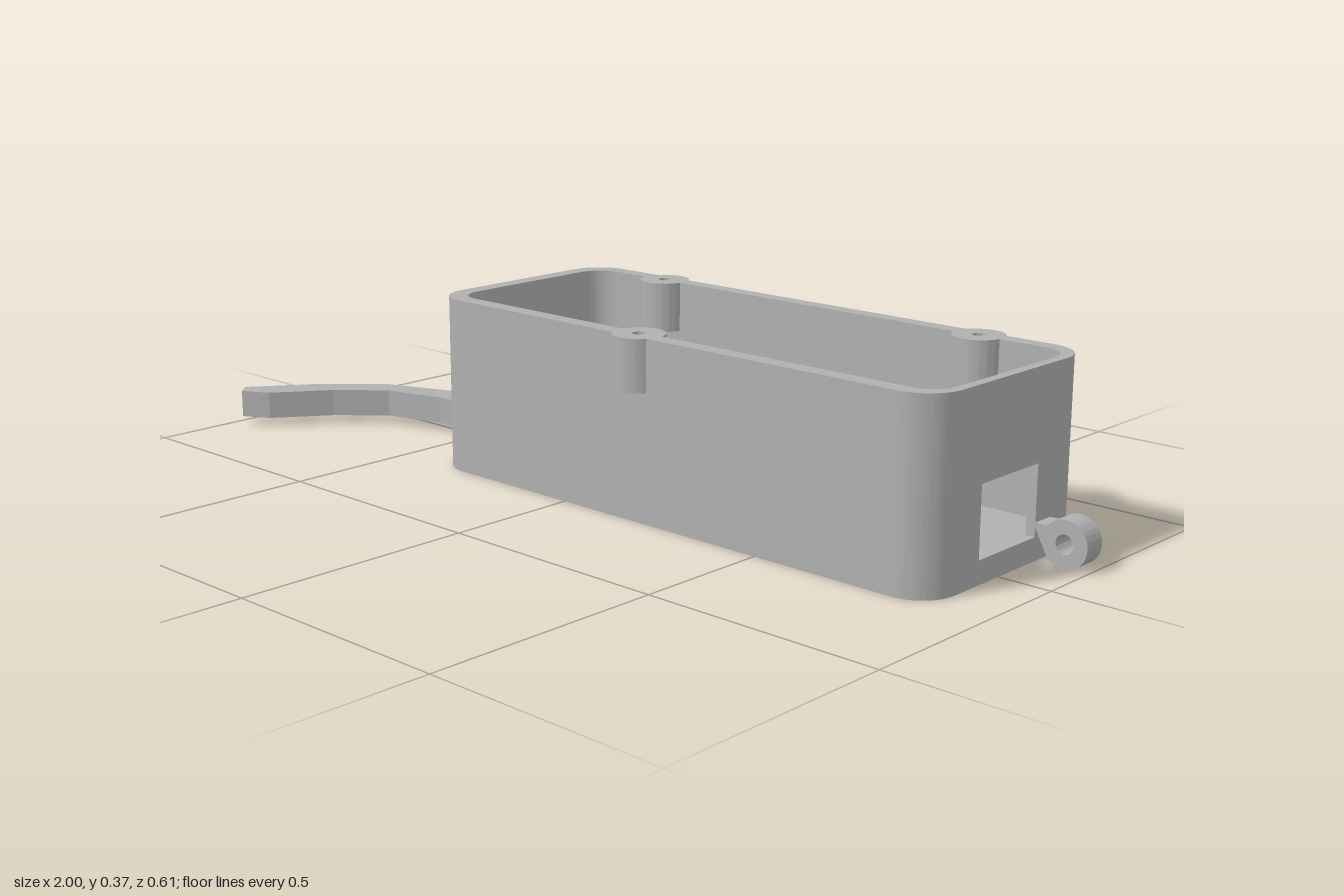
import * as THREE from 'three';
import { toCreasedNormals } from 'three/addons/utils/BufferGeometryUtils.js';

const HEIGHT = 0.37, BOSS_BOTTOM = 0.263, BOSS_R = 0.053, HOLE_R = 0.013;
const OUTER = { x0: -0.39, x1: 0.89, z0: -0.278, z1: 0.216, r: 0.08 };
const INNER = { x0: -0.354, x1: 0.87, z0: -0.244, z1: 0.18, r: 0.055 };
const BACK_BOSSES = [[-0.16, -0.252], [0.66, -0.252]];
const FRONT_BOSSES = [[0.18, 0.188]];
const WINDOW = { z0: -0.115, z1: 0.065, y0: 0.047, y1: 0.188 };

// Rounded rectangle in plan, starting on the right wall; bosses bulge out of the long sides
function outline(b, withBosses, inward) {
  const { x0, x1, z0, z1, r } = b;
  const p = new THREE.Path();
  const bulge = ([cx, cz], z, dir) => {
    const d = z - cz, h = Math.sqrt(BOSS_R ** 2 - d * d) * dir;
    p.absarc(cx, cz, BOSS_R, Math.atan2(d, -h), Math.atan2(d, h), inward);
  };
  p.absarc(x1 - r, z1 - r, r, 0, Math.PI / 2, false);
  if (withBosses) FRONT_BOSSES.forEach((c) => bulge(c, z1, -1));
  p.absarc(x0 + r, z1 - r, r, Math.PI / 2, Math.PI, false);
  p.absarc(x0 + r, z0 + r, r, Math.PI, Math.PI * 1.5, false);
  if (withBosses) BACK_BOSSES.forEach((c) => bulge(c, z0, 1));
  p.absarc(x1 - r, z0 + r, r, Math.PI * 1.5, Math.PI * 2, false);
  return p.getPoints(10);
}

// Extrude a plan shape (x, z) between two heights
function slab(shape, y0, y1) {
  const g = new THREE.ExtrudeGeometry(shape, { depth: y1 - y0, bevelEnabled: false, curveSegments: 16 });
  g.rotateX(Math.PI / 2).translate(0, y1, 0);
  return toCreasedNormals(g, 0.5);
}

function circle(x, y, r) {
  return new THREE.Path().absarc(x, y, r, 0, Math.PI * 2, true);
}

function ring(withBosses) {
  const s = new THREE.Shape(outline(OUTER, withBosses, false));
  s.holes.push(new THREE.Path(outline(INNER, withBosses, true)));
  if (withBosses) [...BACK_BOSSES, ...FRONT_BOSSES].forEach(([x, z]) => s.holes.push(circle(x, z, HOLE_R)));
  return s;
}

export function createModel() {
  const model = new THREE.Group();
  model.name = 'enclosure';
  const grey = new THREE.MeshStandardMaterial({ color: 0xb0b0b0 });
  grey.name = 'plain grey';
  const add = (name, geometry) => {
    const m = new THREE.Mesh(geometry, grey);
    m.name = name;
    model.add(m);
  };

  // Tray: floor, then wall bands
  const floor = 0.035;
  add('floor', slab(new THREE.Shape(outline(OUTER)), 0, floor));
  add('lowerWall', slab(ring(false), floor, WINDOW.y0));
  const v = (x, z) => new THREE.Vector2(x, z);
  const openBand = new THREE.Shape([
    v(OUTER.x1, WINDOW.z1), ...outline(OUTER), v(OUTER.x1, WINDOW.z0),
    v(INNER.x1, WINDOW.z0), ...outline(INNER).reverse(), v(INNER.x1, WINDOW.z1),
  ]);
  add('windowWall', slab(openBand, WINDOW.y0, WINDOW.y1));
  add('middleWall', slab(ring(false), WINDOW.y1, BOSS_BOTTOM));
  add('rimWithScrewBosses', slab(ring(true), BOSS_BOTTOM, HEIGHT));

  // Curved tapering tail on the -x end
  const tail = [
    [-0.38, -0.067], [-0.614, -0.034], [-0.78, 0.03], [-0.898, 0.138], [-1.0, 0.277],
    [-0.973, 0.305], [-0.914, 0.272], [-0.828, 0.154], [-0.732, 0.068], [-0.598, 0.03], [-0.38, 0.009],
  ].map(([x, z]) => v(x, z));
  const tailGeo = new THREE.ExtrudeGeometry(new THREE.Shape(tail), { depth: 0.06, bevelEnabled: false });
  add('tail', tailGeo.rotateX(Math.PI / 2).translate(0, 0.078, 0));

  // Hanging eyelet with its neck on the +x end
  const cx = 0.953, cy = 0.047, r = 0.047, a = Math.asin(0.028 / r);
  const eye = new THREE.Shape();
  eye.moveTo(0.885, cy - 0.028);
  eye.absarc(cx, cy, r, -Math.PI + a, Math.PI - a, false);
  eye.lineTo(0.885, cy + 0.028);
  eye.holes.push(circle(cx, cy, 0.019));
  const eyeGeo = new THREE.ExtrudeGeometry(eye, { depth: 0.05, bevelEnabled: false, curveSegments: 32 });
  add('eyelet', toCreasedNormals(eyeGeo.translate(0, 0, -0.165), 0.5));

  return model;
}
